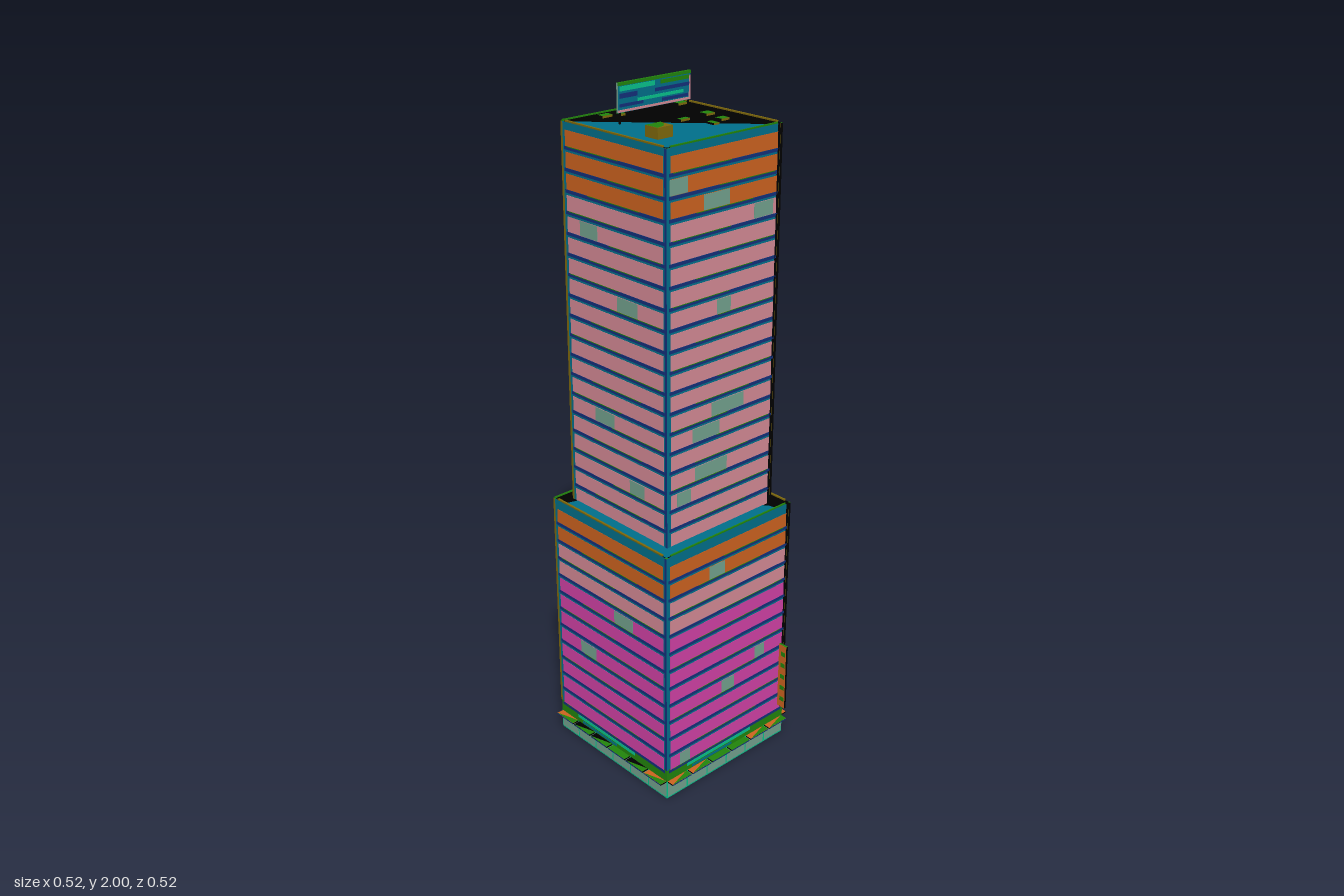
import * as THREE from 'three';

const M = {};
for (const [name, hex] of Object.entries({
  black: 0x000000, tealBlue: 0x00708c, navy: 0x14307c, orange: 0xd06420, pink: 0xd88c98,
  magenta: 0xd442a8, sage: 0x74a490, olive: 0x806a0c, green: 0x22860c, seaGreen: 0x08c48e,
})) {
  M[name] = new THREE.MeshStandardMaterial({ color: hex });
  M[name].name = name;
}

function box(parent, name, w, h, d, x, y, z, mat) {
  const mesh = new THREE.Mesh(new THREE.BoxGeometry(w, h, d), mat);
  mesh.name = name;
  mesh.position.set(x, y, z);
  parent.add(mesh);
  return mesh;
}

// Flat polygon from [x, z] points, facing up or down
function flat(parent, name, points, y, mat, down = false) {
  const shape = new THREE.Shape(points.map(([x, z]) => new THREE.Vector2(x, down ? z : -z)));
  const mesh = new THREE.Mesh(new THREE.ShapeGeometry(shape), mat);
  mesh.name = name;
  mesh.rotation.x = down ? Math.PI / 2 : -Math.PI / 2;
  mesh.position.y = y;
  parent.add(mesh);
}

// Facades turn about the centre: local x runs along the wall, local z points outward
const SIDES = { front: 0, right: Math.PI / 2, back: Math.PI, left: -Math.PI / 2 };
const PITCH = 0.0574;

// Lit windows as [distance along wall, height, width]
const LIT = {
  front: [[-.16, 1.79, .06], [-.03, 1.74, .09], [.14, 1.68, .07], [0, 1.44, .05], [.02, 1.16, .12],
    [-.06, 1.1, .1], [-.04, .98, .12], [-.14, .92, .05], [-.05, .7, .06], [.13, .35, .04],
    [0, .29, .05], [-.17, .12, .04]],
  right: [[-.05, 1.62, .07], [-.06, 1.28, .05], [.08, .7, .1], [.08, .64, .09], [.12, .52, .11],
    [.12, .46, .1], [.12, .4, .12], [.11, .35, .05], [.16, .29, .11], [0, .175, .07]],
  back: [[-.07, 1.82, .05], [.01, 1.74, .05], [.09, 1.61, .08], [-.03, 1.38, .06], [-.05, 1.27, .05],
    [-.07, 1.12, .08], [.08, .68, .08], [-.04, .61, .08], [.03, .52, .08], [.11, .5, .08],
    [-.04, .41, .08], [.13, .32, .08], [0, .29, .06]],
  left: [[-.1, 1.62, .07], [.05, 1.44, .08], [-.05, 1.1, .08], [.08, .93, .06], [.06, .52, .08], [-.1, .35, .07]],
};

// A block of floors with ribbon windows on all four sides
function storeyBlock(parent, name, half, y0, y1, firstRow, rows, colourOf, roofCut) {
  const g = new THREE.Group();
  g.name = name;
  parent.add(g);
  box(g, name + 'Walls', half * 2, y1 - y0, half * 2, 0, (y0 + y1) / 2, 0,
    [M.black, M.tealBlue, M.black, M.black, M.tealBlue, M.black]);
  for (const [side, angle] of Object.entries(SIDES)) {
    const f = new THREE.Group();
    f.name = side + 'Facade';
    f.rotation.y = angle;
    g.add(f);
    const blue = side === 'front' || side === 'left';
    const h = blue ? 0.042 : 0.038;
    for (let i = 0; i < rows; i++) {
      const y = firstRow + i * PITCH;
      box(f, 'windowBand', half * 2 - 0.026, h, 0.004, 0, y, half - 0.0012, M[colourOf(i)]);
      if (blue) {
        box(f, 'sillLine', half * 2 - 0.016, 0.009, 0.004, 0, y - h / 2 - 0.005, half - 0.001, M.navy);
        box(f, 'sillTrim', half, 0.002, 0.004, (i % 3 - 1) * half * 0.4, y - h / 2 - 0.001, half - 0.0005, M.green);
      }
    }
    for (const [u, y, w] of LIT[side]) {
      if (y < y0 || y > y1) continue;
      const row = Math.min(rows - 1, Math.max(0, Math.round((y - firstRow) / PITCH)));
      box(f, 'litWindow', w, h - 0.002, 0.004, u, firstRow + row * PITCH, half - 0.0005, M.sage);
    }
    // Low parapet edge, shorter at the back
    const back = side === 'back', across = back || side === 'front';
    box(f, 'parapet', back ? half * 1.3 : half * 1.86, 0.004, across ? 0.004 : 0.006,
      back ? half * 0.35 : 0, y1 + 0.002, half - 0.002, across ? M.green : M.olive);
  }
  // Corner posts
  for (const sx of [-1, 1]) for (const sz of [-1, 1]) {
    const m = sx < 0 && sz > 0 ? M.navy : M.olive;
    box(g, 'cornerPost', 0.008, y1 - y0, 0.008, sx * (half - 0.002), (y0 + y1) / 2, sz * (half - 0.002),
      [m, m, M.green, m, sx > 0 ? M.black : M.tealBlue, m]);
  }
  box(g, 'frontPillar', 0.009, y1 - y0, 0.004, half - 0.009, (y0 + y1) / 2, half - 0.001, M.black);
  // Blue half of the roof, split along the diagonal
  const s = half - 0.002;
  flat(g, 'blueRoof', [[-s, s], ...roofCut], y1 + 0.001, M.tealBlue);
}

export function createModel() {
  const model = new THREE.Group();
  model.name = 'skyscraper';
  const tower = new THREE.Group();
  tower.name = 'building';
  tower.position.z = -0.01;
  model.add(tower);

  storeyBlock(tower, 'lowerBlock', 0.24, 0.1, 0.8, 0.117, 12,
    i => (i < 8 ? 'magenta' : i < 10 ? 'pink' : 'orange'),
    [[.185, .238], [.18, .215], [.15, .18], [-.2, -.18], [-.238, -.19]]);
  storeyBlock(tower, 'upperTower', 0.2, 0.8, 1.893, 0.818, 19, i => (i < 16 ? 'pink' : 'orange'),
    [[.152, .198], [.15, .18], [-.17, -.15], [-.198, -.18]]);

  // Ground floor and sign band
  box(tower, 'groundFloor', 0.48, 0.06, 0.48, 0, 0.03, 0, M.seaGreen);
  box(tower, 'signBand', 0.48, 0.04, 0.48, 0, 0.08, 0, M.green);
  flat(tower, 'undersidePatch', [[.24, -.24], [-.04, -.24], [.02, -.12], [.12, -.05], [.24, .04]],
    -0.0005, M.green, true);

  // Shopfronts with two-tone awnings: [base colour, corner colour]
  const awnings = {
    front: [['orange', 'green'], ['orange', 'green'], ['green', 'green'], ['green', 'green'],
      ['orange', 'green'], ['orange', 'green']],
    right: [['orange', 'orange'], ['orange', 'black'], ['green', 'orange'], ['black', 'black'],
      ['orange', 'black'], ['orange', 'green']],
    left: [['orange', 'green'], ['black', 'green'], ['black', 'green'], ['green', 'green'],
      ['black', 'green'], ['orange', 'green']],
  };
  for (const [side, pairs] of Object.entries(awnings)) {
    const f = new THREE.Group();
    f.name = side + 'Shopfront';
    f.rotation.y = SIDES[side];
    tower.add(f);
    pairs.forEach(([base, corner], i) => {
      const u = -0.2 + i * 0.08;
      box(f, 'shopWindow', 0.074, 0.05, 0.004, u, 0.03, 0.239, M.sage);
      box(f, 'awning', 0.074, 0.004, 0.022, u, 0.058, 0.251,
        [M.black, M.black, M[base], M[base], M.navy, M.black]);
      if (corner !== base)
        flat(f, 'awningCorner', [[u + .037, .24], [u - .037, .262], [u + .037, .262]], 0.0605, M[corner]);
    });
    if (side === 'right') {
      box(f, 'darkFascia', 0.4, 0.01, 0.004, 0, 0.072, 0.239, M.black);
    } else {
      box(f, 'signStripe', 0.26, 0.01, 0.004, -0.03, 0.08, 0.239, M.seaGreen);
      box(f, 'signStripe', 0.2, 0.008, 0.004, -0.1, 0.092, 0.2395, M.navy);
      box(f, 'signStripe', 0.16, 0.008, 0.004, -0.06, 0.067, 0.239, M.tealBlue);
    }
  }
  // Back fascia, sea green with green patches
  box(tower, 'backFascia', 0.36, 0.034, 0.004, -0.04, 0.078, -0.239, M.seaGreen);
  for (const [x, y, w, h] of [[.2, .045, .08, .03], [.1, .085, .12, .02], [-.08, .09, .1, .012], [-.18, .06, .02, .012]])
    box(tower, 'backPatch', w, h, 0.004, x, y, -0.2395, M.green);

  // Service pipes on the back wall
  box(tower, 'servicePipe', 0.007, 0.7, 0.01, 0.112, 0.45, -0.244, M.black);
  box(tower, 'servicePipe', 0.006, 0.7, 0.01, 0.09, 0.45, -0.244, M.black);
  box(tower, 'pipeBracket', 0.004, 0.7, 0.009, 0.095, 0.45, -0.243, M.olive);

  // Vertical blade sign
  box(model, 'bladeSign', 0.007, 0.22, 0.032, 0.22, 0.22, 0.244,
    [M.orange, M.orange, M.green, M.black, M.black, M.black]);
  for (let i = 0; i < 5; i++)
    box(model, 'bladeSignStripe', 0.009, 0.014, 0.016, 0.22, 0.14 + i * 0.04, 0.248, M.green);

  // Rooftop billboard
  const board = new THREE.Group();
  board.name = 'billboard';
  board.position.set(-0.004, 1.962, -0.071);
  model.add(board);
  box(board, 'panel', 0.25, 0.076, 0.006, 0, 0, 0, [M.olive, M.sage, M.green, M.black, M.tealBlue, M.black]);
  box(board, 'backStripe', 0.24, 0.05, 0.003, 0, -0.01, -0.003, M.olive);
  for (const [x, y, w, h, c] of [[0, .034, .25, .008, 'green'], [-.06, .022, .12, .012, 'seaGreen'],
    [.07, .022, .1, .01, 'green'], [.06, .004, .12, .009, 'navy'], [-.09, .004, .06, .012, 'navy'],
    [.02, -.012, .16, .008, 'seaGreen'], [-.08, -.02, .08, .008, 'navy'], [.07, -.024, .09, .008, 'navy'],
    [0, -.034, .25, .006, 'pink'], [.122, -.004, .005, .06, 'pink']])
    box(board, 'boardStripe', w, h, 0.003, x, y, 0.003, M[c]);
  for (const x of [-0.115, 0.004, 0.122])
    box(board, 'leg', 0.004, 0.07, 0.004, x, -0.035, -0.003, M.black);

  // Rooftop plant
  box(model, 'stairHousing', 0.05, 0.03, 0.046, -0.135, 1.908, 0.092, M.olive);
  flat(model, 'housingTop', [[-.16, .07], [-.16, .115], [-.135, .108], [-.118, .092], [-.11, .07]], 1.9235, M.green);
  for (const [x, z, w, d] of [[-.09, -.167, .034, .022], [-.049, -.152, .021, .015], [.158, -.145, .033, .021],
    [.031, .002, .031, .016], [.125, -.008, .03, .028], [.112, .062, .028, .024], [.058, .083, .018, .028]])
    box(model, 'roofUnit', w, 0.008, d, x, 1.895, z, [M.black, M.black, M.green, M.black, M.olive, M.olive]);

  return model;
}
